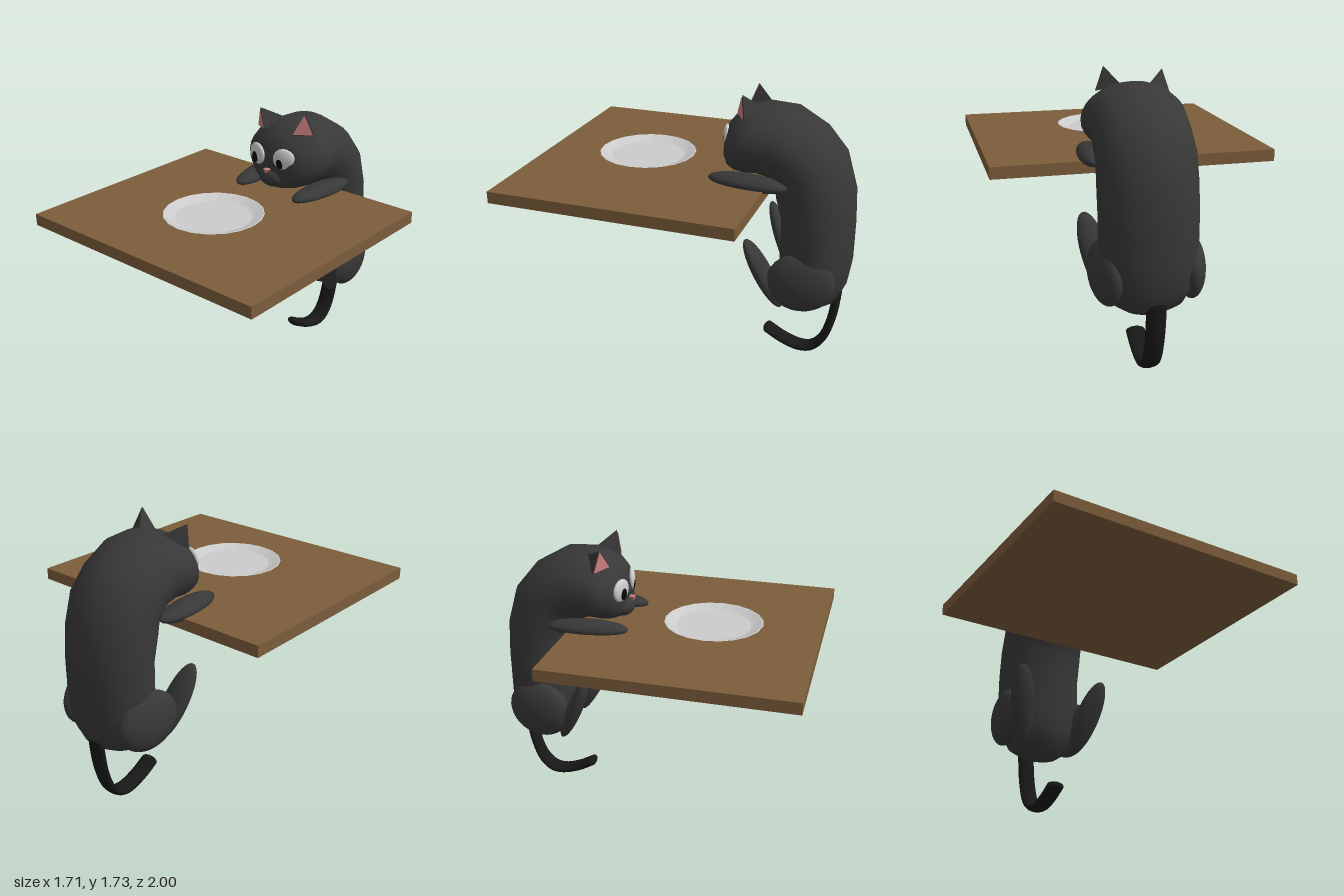
import * as THREE from 'three';
import { ConvexGeometry } from 'three/addons/geometries/ConvexGeometry.js';

const mat = (color, extra = {}) => new THREE.MeshStandardMaterial({ color, ...extra });
const fur = mat(0x383838);
const darkFur = mat(0x181818);
const black = mat(0x0a0a0a);
const pink = mat(0xd08080, { side: THREE.DoubleSide });
const wood = mat(0x7c5d3b);
const grey = mat(0xcccccc);
const plateMat = mat(0xcccccc, { side: THREE.DoubleSide, flatShading: true });
const V = (x, y, z) => new THREE.Vector3(x, y, z);

function add(parent, name, geometry, material) {
  const mesh = new THREE.Mesh(geometry, material);
  mesh.name = name;
  parent.add(mesh);
  return mesh;
}

// Stretched sphere
function ellipsoid(parent, name, material, center, radii) {
  const mesh = add(parent, name, new THREE.SphereGeometry(1, 28, 18), material);
  mesh.position.set(...center);
  mesh.scale.set(...radii);
  return mesh;
}

// Skin over elliptical rings: [back z, back y, front z, front y, half width]
function loft(rings, cx, n = 28) {
  const pos = [], index = [];
  rings.forEach(([bz, by, fz, fy, w], r) => {
    for (let i = 0; i < n; i++) {
      const a = (i / n) * Math.PI * 2, c = Math.cos(a) / 2;
      pos.push(cx + Math.sin(a) * w, (by + fy) / 2 + c * (fy - by), (bz + fz) / 2 + c * (fz - bz));
      if (r < rings.length - 1) {
        const p = r * n + i, p1 = r * n + ((i + 1) % n);
        index.push(p, p1, p + n, p1, p1 + n, p + n);
      }
    }
  });
  const g = new THREE.BufferGeometry();
  g.setAttribute('position', new THREE.Float32BufferAttribute(pos, 3));
  g.setIndex(index);
  g.computeVertexNormals();
  return g;
}

// Ear: dark wedge with a pink panel just ahead of its front face
function ear(parent, name, tip, outer, inner, back) {
  const g = new THREE.Group();
  g.name = name;
  add(g, 'earShell', new ConvexGeometry([tip, outer, inner, back]), fur);
  const mid = tip.clone().add(outer).add(inner).divideScalar(3);
  const panel = [tip, outer, inner].map((p) => p.clone().lerp(mid, 0.08).add(V(0, 0.002, 0.006)));
  const tri = new THREE.BufferGeometry().setFromPoints(panel);
  tri.computeVertexNormals();
  add(g, 'innerEar', tri, pink);
  parent.add(g);
}

export function createModel() {
  const model = new THREE.Group();

  // Table and plate
  add(model, 'tabletop', new THREE.BoxGeometry(1.71, 0.072, 1.5), wood).position.set(0, 1.188, 0.25);
  const profile = [[0, 0.002], [0.2, 0.002], [0.305, 0.036], [0.3, 0.038], [0.235, 0.012], [0, 0.012]];
  const plate = add(model, 'plate',
    new THREE.LatheGeometry(profile.map(([x, y]) => new THREE.Vector2(x, y)), 20), plateMat);
  plate.position.set(0, 1.224, 0.345);

  const cat = new THREE.Group();
  cat.name = 'cat';
  model.add(cat);

  // Body and head in one curved skin, from rump to face
  add(cat, 'bodyAndHead', loft([
    [-0.751, 0.385, -0.749, 0.385, 0.001],
    [-0.85, 0.395, -0.66, 0.395, 0.13],
    [-0.93, 0.45, -0.6, 0.45, 0.21],
    [-0.975, 0.55, -0.56, 0.55, 0.265],
    [-0.998, 0.7, -0.55, 0.7, 0.29],
    [-1.0, 0.95, -0.55, 0.97, 0.29],
    [-0.99, 1.17, -0.51, 1.11, 0.29],
    [-0.925, 1.39, -0.5, 1.19, 0.287],
    [-0.8, 1.54, -0.44, 1.23, 0.285],
    [-0.61, 1.65, -0.39, 1.235, 0.29],
    [-0.42, 1.66, -0.33, 1.23, 0.3],
    [-0.32, 1.63, -0.27, 1.235, 0.27],
    [-0.25, 1.58, -0.22, 1.25, 0.2],
    [-0.21, 1.53, -0.195, 1.28, 0.13],
    [-0.186, 1.411, -0.186, 1.409, 0.001],
  ], 0.008), fur);
  ellipsoid(cat, 'muzzle', fur, [-0.013, 1.315, -0.225], [0.095, 0.065, 0.067]);

  // Nose
  const noseShape = new THREE.Shape([[-0.02, 0.012], [0, -0.014], [0.02, 0.012]]
    .map(([x, y]) => new THREE.Vector2(x, y)));
  const nose = add(cat, 'nose',
    new THREE.ExtrudeGeometry(noseShape, { depth: 0.03, bevelEnabled: false }), pink);
  nose.position.set(-0.015, 1.368, -0.186);

  // Eyes
  for (const [s, x, y, px] of [[-1, -0.125, 1.45, -0.13], [1, 0.09, 1.455, 0.073]]) {
    ellipsoid(cat, 'eye', grey, [x, y, -0.208], [0.075, 0.07, 0.024]).rotation.y = s * 0.3;
    ellipsoid(cat, 'pupil', black, [px, y - 0.02, -0.189], [0.028, 0.038, 0.012]).rotation.y = s * 0.3;
  }

  // Ears
  ear(cat, 'rightEar', V(-0.195, 1.71, -0.32), V(-0.235, 1.575, -0.35), V(-0.125, 1.59, -0.28), V(-0.09, 1.645, -0.43));
  ear(cat, 'leftEar', V(0.16, 1.737, -0.32), V(0.215, 1.6, -0.35), V(0.1, 1.6, -0.275), V(0.08, 1.645, -0.43));

  for (const s of [-1, 1]) {
    const shift = s < 0 ? -0.003 : 0.003;
    // Front leg resting on the table
    ellipsoid(cat, 'frontLeg', fur, [s * 0.25, 1.238, -0.385], [0.083, 0.05, 0.25]).rotation.y = -s * 0.1;
    // Thigh, then the raised hind foot
    ellipsoid(cat, 'thigh', fur, [s * 0.248 + shift, 0.63, -0.735], [0.085, 0.19, 0.21]).rotation.y = s * 0.12;
    const foot = ellipsoid(cat, 'hindFoot', fur, [s * 0.247 + shift, 0.652, -0.5], [0.086, 0.265, 0.05]);
    foot.quaternion.setFromUnitVectors(V(0, 1, 0), V(s * 0.055, 0.235, 0.105).normalize());
  }

  // Tail: flattened tube curling forward, with a rounded tip
  const tail = new THREE.Group();
  tail.name = 'tail';
  tail.scale.x = 2.15;
  const path = new THREE.CatmullRomCurve3([[0.58, -0.925], [0.42, -0.915], [0.25, -0.888], [0.11, -0.835],
    [0.045, -0.765], [0.036, -0.69], [0.07, -0.58], [0.125, -0.48]].map(([y, z]) => V(0, y, z)));
  add(tail, 'tailTube', new THREE.TubeGeometry(path, 40, 0.028, 14), darkFur);
  ellipsoid(tail, 'tailTip', darkFur, [0, 0.125, -0.48], [0.028, 0.028, 0.028]);
  cat.add(tail);

  return model;
}
